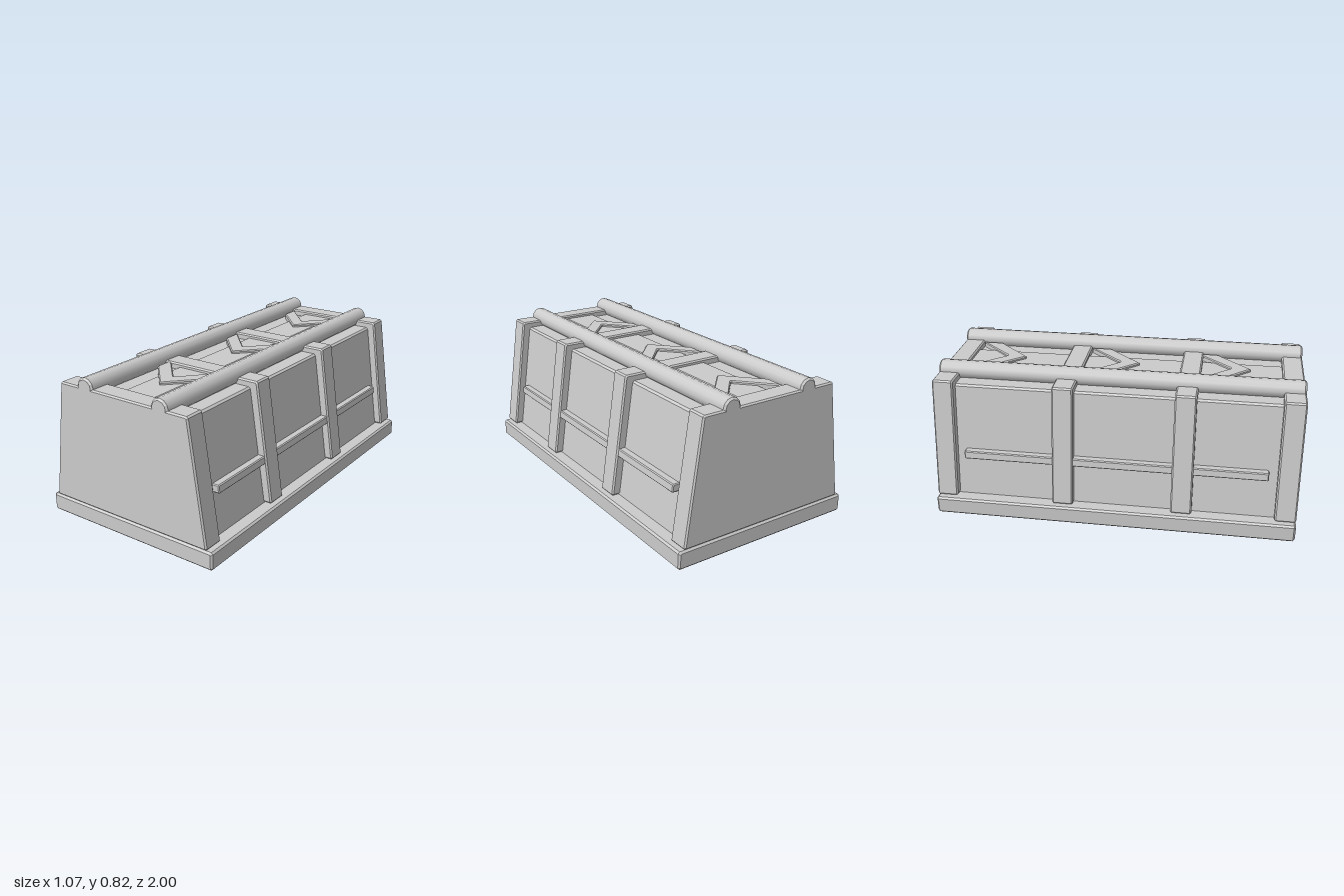
import * as THREE from 'three';

const material = new THREE.MeshStandardMaterial({ color: 0xcccccc, flatShading: true });
const smooth = new THREE.MeshStandardMaterial({ color: 0xcccccc });

// Polygon with its corners cut by c
function chamfered(points, c) {
  const v = points.map(([x, y]) => new THREE.Vector2(x, y));
  const out = [];
  v.forEach((p, i) => {
    for (const q of [v[(i + v.length - 1) % v.length], v[(i + 1) % v.length]]) {
      out.push(p.clone().add(q.clone().sub(p).setLength(c)));
    }
  });
  return new THREE.Shape(out);
}

// Bevelled extrusion of a polygon, from z0 to z1
function prism(points, z0, z1, b) {
  const geo = new THREE.ExtrudeGeometry(chamfered(points, b), {
    depth: z1 - z0 - 2 * b, bevelEnabled: true, bevelThickness: b,
    bevelSize: b, bevelOffset: -b, bevelSegments: 1,
  });
  return geo.translate(0, 0, z0 + b);
}

const trapezoid = (bottom, top, y0, y1) => [[-bottom, y0], [bottom, y0], [top, y1], [-top, y1]];

export function createModel() {
  const model = new THREE.Group();
  const add = (name, geometry, mat = material) => {
    const mesh = new THREE.Mesh(geometry, mat);
    mesh.name = name;
    model.add(mesh);
    return mesh;
  };

  // Base slab and tapered body
  add('base', prism(trapezoid(0.537, 0.537, 0, 0.1), -1, 1, 0.01));
  add('body', prism(trapezoid(0.462, 0.367, 0.09, 0.735), -0.95, 0.95, 0.01));

  // Tapered frames around the body
  for (const z of [-0.942, -0.281, 0.378, 0.942]) {
    add('frame', prism(trapezoid(0.506, 0.409, 0.102, 0.77), z - 0.058, z + 0.058, 0.008));
  }

  // Raised panel along the middle of the lid
  add('lidPanel', prism(trapezoid(0.1, 0.1, 0.715, 0.75), -0.92, 0.92, 0.008));

  // Arrow-shaped ornaments, one per bay
  for (const tip of [-0.575, 0.086, 0.712]) {
    const outline = [[0, -tip], [0.178, 0.193 - tip], [0.178, 0.308 - tip],
      [0, 0.112 - tip], [-0.178, 0.308 - tip], [-0.178, 0.193 - tip]];
    add('chevron', prism(outline, 0.715, 0.765, 0.006).rotateX(-Math.PI / 2));
  }

  for (const side of [-1, 1]) {
    // Round rails over the lid, with bevelled ends
    const b = 0.01, r = 0.052;
    const tube = new THREE.CylinderGeometry(r, r, 2 - 2 * b, 12, 1, true).rotateX(Math.PI / 2);
    add('rail', tube, smooth).position.set(side * 0.24, 0.771, 0);
    for (const end of [-1, 1]) {
      const cap = new THREE.CylinderGeometry(r - b, r, b, 12)
        .rotateX(end * Math.PI / 2).translate(0, 0, end * (1 - b / 2));
      add('railEnd', cap).position.set(side * 0.24, 0.771, 0);
    }

    // Slim moulding along each flank
    const section = [[0.4, 0.326], [0.465, 0.326], [0.459, 0.37], [0.4, 0.37]]
      .map(([x, y]) => [side * x, y]);
    add('sideMoulding', prism(section, -0.837, 0.837, 0.005));
  }
  return model;
}
